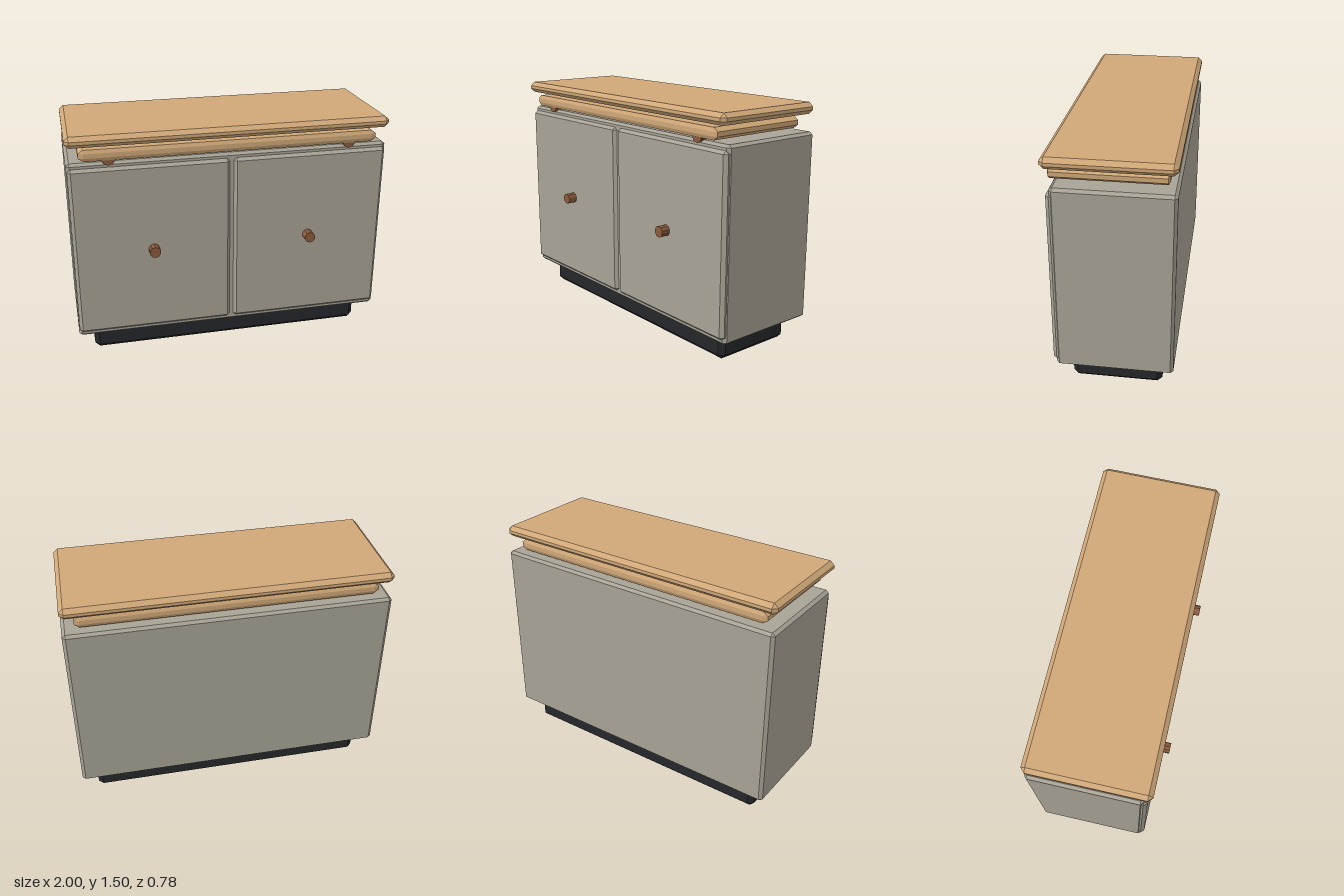
import * as THREE from 'three';
import { ConvexGeometry } from 'three/addons/geometries/ConvexGeometry.js';

const material = (color) => new THREE.MeshStandardMaterial({ color, flatShading: true });

// Box between two corners, with every edge chamfered by (cx, cy, cz).
function chamferBox(min, max, chamfer) {
  const points = [];
  for (const sx of [0, 1]) for (const sy of [0, 1]) for (const sz of [0, 1]) {
    const signs = [sx, sy, sz];
    for (let axis = 0; axis < 3; axis++) {
      // One point per face meeting at this corner
      const p = signs.map((s, i) => {
        const inset = i === axis ? 0 : chamfer[i];
        return s ? max[i] - inset : min[i] + inset;
      });
      points.push(new THREE.Vector3(...p));
    }
  }
  return new ConvexGeometry(points);
}

export function createModel() {
  const group = new THREE.Group();
  const grey = material(0xa8a396);
  const wood = material(0xd0a878);
  const brown = material(0x8b5a3c);
  const black = material(0x25272a);

  const add = (name, geometry, mat) => {
    const mesh = new THREE.Mesh(geometry, mat);
    mesh.name = name;
    group.add(mesh);
    return mesh;
  };

  // Round bar lying along z
  const rod = (name, x, y, z0, z1, radius) => {
    const geometry = new THREE.CylinderGeometry(radius, radius, z1 - z0, 10);
    geometry.rotateX(Math.PI / 2);
    add(name, geometry, brown).position.set(x, y, (z0 + z1) / 2);
  };

  // Plinth and cabinet body
  add('plinth', chamferBox([-0.9, 0, -0.313], [0.9, 0.157, 0.235], [0.03, 0.03, 0.03]), black);
  add('cabinet', chamferBox([-1, 0.155, -0.387], [1, 1.325, 0.312], [0.02, 0.016, 0.018]), grey);

  // Pull-out board and worktop
  add('board', chamferBox([-0.925, 1.34, -0.337], [0.922, 1.412, 0.335], [0.03, 0.022, 0.01]), wood);
  add('worktop', chamferBox([-1, 1.43, -0.387], [1, 1.5, 0.36], [0.027, 0.025, 0.027]), wood);

  // Doors, knobs and board runners, mirrored
  for (const [side, s] of [['left', 1], ['right', -1]]) {
    const x0 = s > 0 ? 0.01 : -0.995;
    add(side + 'Door', chamferBox([x0, 0.185, 0.27], [x0 + 0.985, 1.295, 0.332], [0.02, 0.02, 0.022]), grey);
    rod(side + 'Knob', s * 0.5, 0.74, 0.32, 0.39, 0.035);
    rod(side + 'Runner', s * 0.75, 1.343, -0.015, 0.32, 0.038);
  }
  return group;
}
